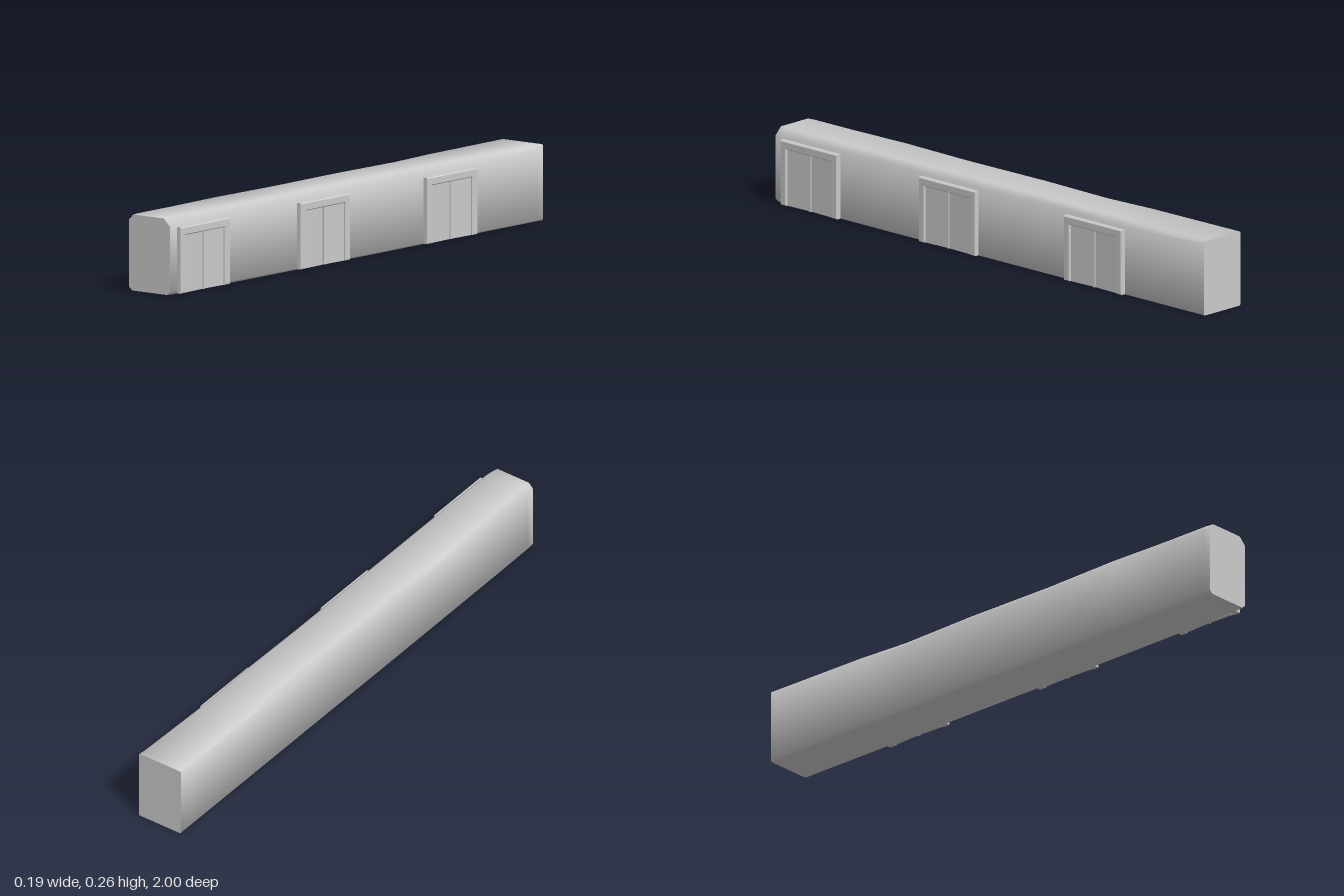
import * as THREE from 'three';
import { toCreasedNormals } from 'three/addons/utils/BufferGeometryUtils.js';

const material = new THREE.MeshStandardMaterial({ color: 0xcccccc });
const X0 = -0.098, X1 = 0.078, H = 0.26;

// Worn edge chamfers along the beam: [z, top -x, top +x, bottom]
const STATIONS = [
  [-1, 0.003, 0.003, 0.004], [-0.97, 0.004, 0.008, 0.004],
  [-0.6, 0.008, 0.02, 0.004], [-0.4, 0.02, 0.015, 0.004],
  [-0.1, 0.012, 0.02, 0.004], [0.25, 0.016, 0.02, 0.004],
  [0.55, 0.008, 0.02, 0.005], [0.8, 0.014, 0.02, 0.006],
  [0.97, 0.014, 0.022, 0.008], [1, 0.018, 0.026, 0.012],
];

// Lofts an eight-sided section through the stations and caps both ends
function beamGeometry() {
  const rings = STATIONS.map(([z, l, r, b]) => [
    [X0 + b, 0, z], [X1 - b, 0, z], [X1, b, z], [X1, H - r, z],
    [X1 - r, H, z], [X0 + l, H, z], [X0, H - l, z], [X0, b, z],
  ]);
  const positions = rings.flat(2), index = [], n = 8, last = (rings.length - 1) * n;
  for (let s = 0; s < rings.length - 1; s++) {
    for (let i = 0; i < n; i++) {
      const a = s * n + i, b = s * n + (i + 1) % n;
      index.push(a, b, b + n, a, b + n, a + n);
    }
  }
  for (let i = 1; i < n - 1; i++) {
    index.push(0, i + 1, i);
    index.push(last, last + i, last + i + 1);
  }
  const g = new THREE.BufferGeometry();
  g.setAttribute('position', new THREE.Float32BufferAttribute(positions, 3));
  g.setIndex(index);
  return toCreasedNormals(g, 0.9);
}

function add(parent, name, geometry, x = 0, y = 0, z = 0) {
  const mesh = new THREE.Mesh(geometry, material);
  mesh.name = name;
  mesh.position.set(x, y, z);
  parent.add(mesh);
  return mesh;
}

// Doorway on the +x side: raised surround, two leaves and a centre strip
function doorway(z, width) {
  const door = new THREE.Group();
  door.name = 'doorway';
  door.position.z = z;
  const w = width / 2, inner = w - 0.027, top = 0.228, lintel = 0.2;

  const outline = new THREE.Shape([
    [-w, 0.002], [-inner, 0.002], [-inner, lintel], [inner, lintel],
    [inner, 0.002], [w, 0.002], [w, top], [-w, top],
  ].map(p => new THREE.Vector2(...p)));
  const surround = new THREE.ExtrudeGeometry(outline, {
    depth: 0.015, bevelEnabled: true, bevelSize: 0.003, bevelThickness: 0.003,
    bevelOffset: -0.003, bevelSegments: 1,
  });
  surround.rotateY(Math.PI / 2);
  add(door, 'doorSurround', surround, X1);

  for (const side of [-1, 1]) {
    const leaf = add(door, 'doorLeaf',
      new THREE.BoxGeometry(0.012, lintel, inner - 0.002),
      X1 + 0.003, lintel / 2 + 0.002, side * inner / 2);
    leaf.rotation.y = side * 0.04;
  }
  add(door, 'doorCentreStrip', new THREE.BoxGeometry(0.014, lintel, 0.008),
    X1 + 0.005, lintel / 2 + 0.002);
  return door;
}

export function createModel() {
  const model = new THREE.Group();
  model.name = 'longBlock';
  add(model, 'mainBody', beamGeometry());
  for (const [z, width] of [[0.83, 0.265], [0.185, 0.265], [-0.495, 0.27]]) {
    model.add(doorway(z, width));
  }
  return model;
}
